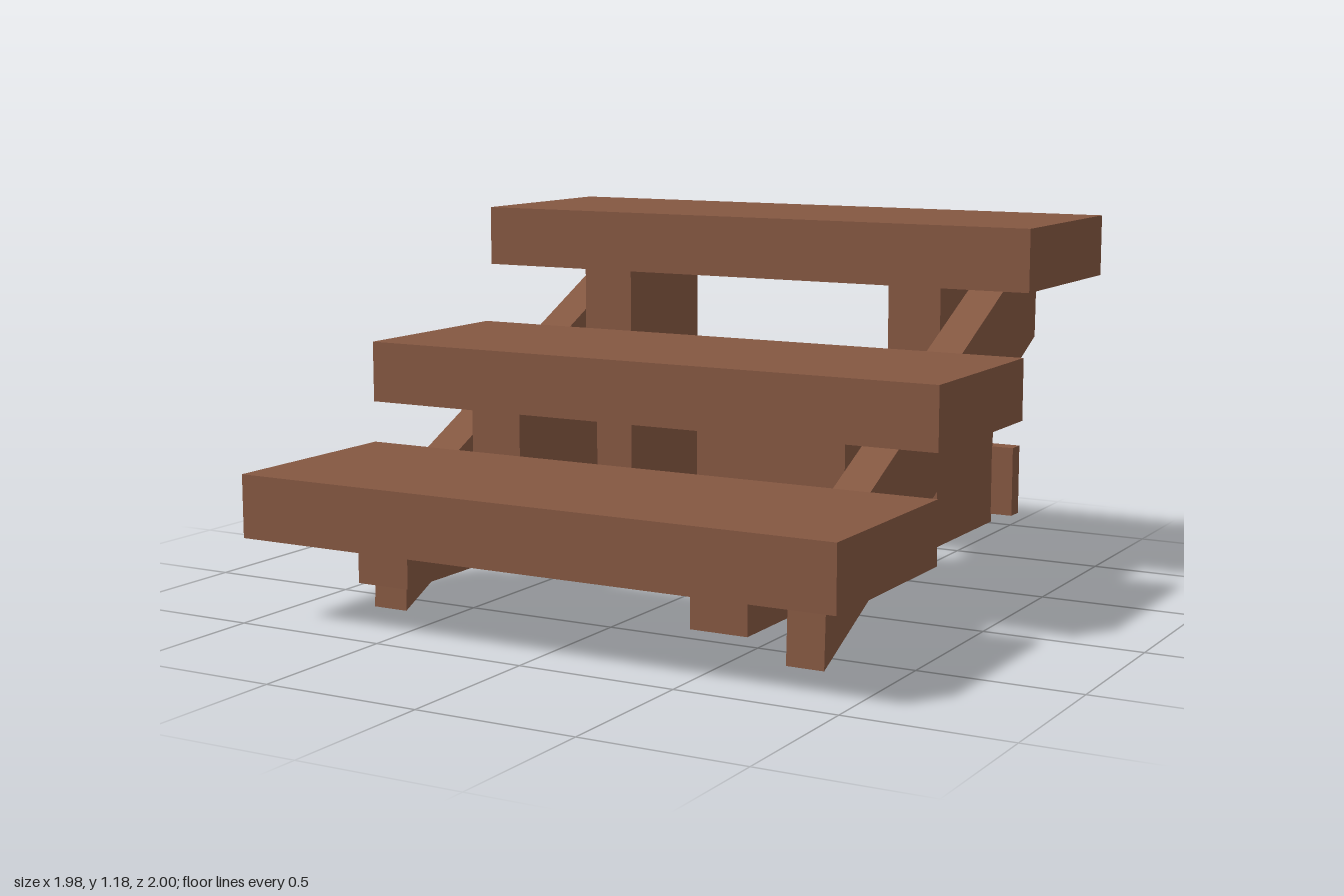
import * as THREE from 'three';

export function createModel() {
  const model = new THREE.Group();
  model.name = 'openStairs';
  const wood = new THREE.MeshStandardMaterial({ color: 0x845741 });
  wood.name = 'brown wood';

  // Box given by its limits on each axis
  function beam(name, [x0, x1], [y0, y1], [z0, z1]) {
    const mesh = new THREE.Mesh(new THREE.BoxGeometry(x1 - x0, y1 - y0, z1 - z0), wood);
    mesh.position.set((x0 + x1) / 2, (y0 + y1) / 2, (z0 + z1) / 2);
    mesh.name = name;
    model.add(mesh);
  }

  // Three broad treads
  beam('lowerTread', [-0.99, 0.99], [0.268, 0.464], [0.338, 1]);
  beam('middleTread', [-0.99, 0.99], [0.597, 0.792], [-0.313, 0.34]);
  beam('upperTread', [-0.99, 0.99], [0.988, 1.185], [-1, -0.347]);

  // Sloping side stringer profile, drawn as (-z, y)
  const profile = new THREE.Shape([
    [-0.635, 0.003], [0.96, 0.775], [0.965, 0.988], [0.74, 0.988], [-0.62, 0.328],
  ].map(([x, y]) => new THREE.Vector2(x, y)));
  const stringerGeometry = new THREE.ExtrudeGeometry(profile, { depth: 0.12, bevelEnabled: false });
  stringerGeometry.translate(0, 0, -0.06).rotateY(Math.PI / 2);

  for (const side of [-1, 1]) {
    const label = side > 0 ? 'left' : 'right';
    const stringer = new THREE.Mesh(stringerGeometry, wood);
    stringer.name = label + 'Stringer';
    stringer.position.x = side * 0.72;
    model.add(stringer);

    // Posts standing under each tread, inside the stringers
    const xs = side > 0 ? [0.48, 0.66] : [-0.66, -0.48];
    beam(label + 'LowerPost', xs, [0.14, 0.268], [0.4, 0.87]);
    beam(label + 'MiddlePost', xs, [0.14, 0.597], [-0.21, 0.26]);
    beam(label + 'UpperPost', xs, [0.14, 0.988], [-0.905, -0.435]);
  }

  // Rear cross brace
  beam('rearBrace', [-0.735, 0.735], [0.168, 0.4], [-0.96, -0.9]);

  return model;
}
